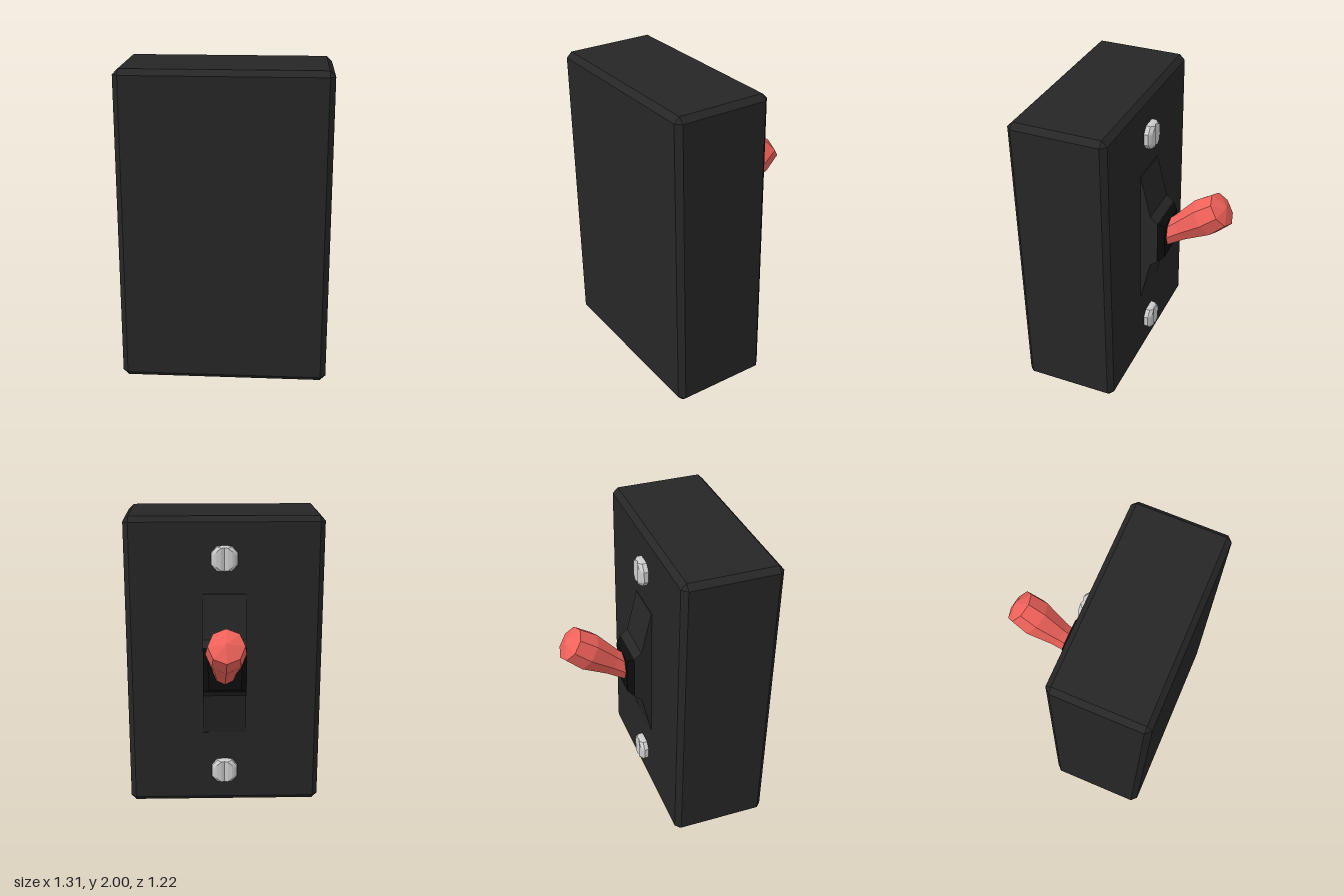
import * as THREE from 'three';
import { ConvexGeometry } from 'three/addons/geometries/ConvexGeometry.js';

const material = (color) => new THREE.MeshStandardMaterial({ color, flatShading: true });

function part(name, geometry, mat) {
  const mesh = new THREE.Mesh(geometry, mat);
  mesh.name = name;
  return mesh;
}

// Box with every edge cut at 45 degrees
function chamferedBox(w, h, d, c) {
  const points = [];
  for (const x of [-1, 1]) for (const y of [-1, 1]) for (const z of [-1, 1]) {
    const [a, b, e] = [w / 2, h / 2, d / 2];
    points.push(
      new THREE.Vector3(x * a, y * (b - c), z * (e - c)),
      new THREE.Vector3(x * (a - c), y * b, z * (e - c)),
      new THREE.Vector3(x * (a - c), y * (b - c), z * e)
    );
  }
  return new ConvexGeometry(points);
}

// One half of a slotted screw head; side is -1 or 1
function screwHalf(side) {
  const points = [];
  const add = (x, y, z) => points.push(
    new THREE.Vector3(side * x, y, z), new THREE.Vector3(side * x, -y, z));
  for (const z of [0, -0.03]) {
    add(0, 0.083, z);
    add(0.05, 0.08, z);
    add(0.087, 0.037, z);
  }
  add(0, 0.076, -0.043);
  add(0.022, 0.074, -0.052);
  add(0.052, 0.05, -0.052);
  add(0.068, 0.025, -0.046);
  return new ConvexGeometry(points);
}

export function createModel() {
  const model = new THREE.Group();
  model.name = 'toggleSwitch';
  const black = material(0x262626);
  const darkest = material(0x0c0c0c);
  const red = material(0xf0625a);
  const metal = material(0xcccccc);

  // Housing
  const housing = part('housing', chamferedBox(1.31, 2, 0.64, 0.035), black);
  housing.position.set(0, 1, 0.29);
  model.add(housing);

  // Ramped bezel on the back, drawn as a side profile (depth, height)
  const profile = [
    [0.02, 0.51], [0.033, 0.52], [0.1, 0.81], [0.15, 0.85],
    [0.15, 1.16], [0.1, 1.2], [0.033, 1.49], [0.02, 1.5],
  ].map(([d, y]) => new THREE.Vector2(d, y));
  const bezel = new THREE.ExtrudeGeometry(new THREE.Shape(profile), { depth: 0.29, bevelEnabled: false });
  bezel.rotateY(Math.PI / 2).translate(-0.145, 0, 0);
  model.add(part('bezel', bezel, black));

  // Tapered collar around the lever
  const collarPoints = [];
  for (const x of [-1, 1]) for (const y of [-1, 1]) {
    collarPoints.push(
      new THREE.Vector3(x * 0.145, 1.005 + y * 0.155, -0.149),
      new THREE.Vector3(x * 0.11, 1.005 + y * 0.125, -0.188)
    );
  }
  model.add(part('leverCollar', new ConvexGeometry(collarPoints), darkest));

  // Eight-sided lever, tilted up and back
  const leverProfile = [
    [0, -0.4], [0.075, -0.4], [0.093, -0.198], [0.13, 0], [0.117, 0.131], [0, 0.172],
  ].map(([r, t]) => new THREE.Vector2(r, t));
  const lever = part('lever', new THREE.LatheGeometry(leverProfile, 8), red);
  lever.rotation.x = -0.913;
  lever.position.set(0, 1.205, -0.43);
  model.add(lever);

  // Slotted screws above and below the lever
  for (const [name, y] of [['upperScrew', 1.73], ['lowerScrew', 0.24]]) {
    const screw = new THREE.Group();
    screw.name = name;
    for (const side of [-1, 1]) screw.add(part('screwHeadHalf', screwHalf(side), metal));
    screw.position.set(0, y, -0.029);
    model.add(screw);
  }
  return model;
}
